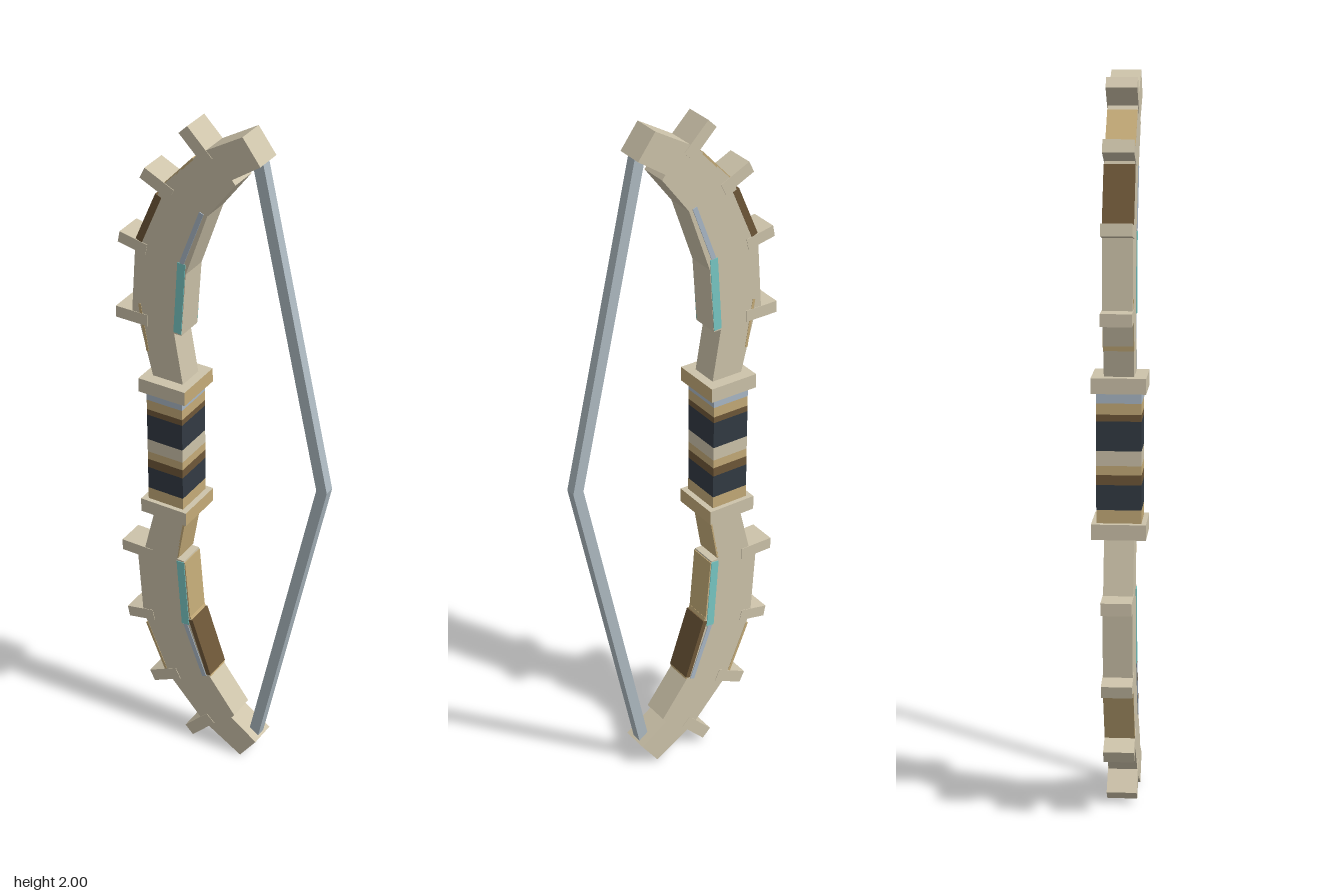
import * as THREE from 'three';

const mat = (name, color) => new THREE.MeshStandardMaterial({ name, color });

export function createModel() {
  const cream = mat('cream', 0xcdc3aa), tan = mat('tan', 0xc4ab78), brown = mat('brown', 0x6e5738),
    dark = mat('charcoal', 0x323a43), steel = mat('steel', 0xaebbc2),
    teal = mat('teal', 0x78c8c4), blue = mat('paleBlue', 0xaab8c6);
  const model = new THREE.Group();
  model.name = 'bow';

  const add = (parent, name, geometry, material) => {
    const m = new THREE.Mesh(geometry, material);
    m.name = name;
    parent.add(m);
    return m;
  };

  // outline extruded evenly to both sides of z = 0
  const slab = (parent, name, pts, depth, material) => {
    const shape = new THREE.Shape(pts.map(([x, y]) => new THREE.Vector2(x, y)));
    const g = new THREE.ExtrudeGeometry(shape, { depth, bevelEnabled: false });
    g.translate(0, 0, -depth / 2);
    return add(parent, name, g, material);
  };

  // box lying along the line from a to b
  const bar = (parent, name, a, b, width, depth, material) => {
    const dx = b[0] - a[0], dy = b[1] - a[1];
    const m = add(parent, name, new THREE.BoxGeometry(Math.hypot(dx, dy), width, depth), material);
    m.position.set((a[0] + b[0]) / 2, (a[1] + b[1]) / 2, 0);
    m.rotation.z = Math.atan2(dy, dx);
    return m;
  };

  // limb corners: outer edge going up, then inner edge coming down
  const outer = [[-0.2, 1.19], [-0.245, 1.37], [-0.27, 1.385], [-0.255, 1.6], [-0.17, 1.8], [-0.055, 1.925], [0.07, 2]];
  const inner = [[0.122, 1.93], [0.04, 1.873], [0.05, 1.86], [-0.033, 1.75], [-0.1, 1.56], [-0.115, 1.37], [-0.138, 1.37], [-0.108, 1.19]];
  const spikes = [
    [[-0.32, 1.385], [-0.22, 1.385], 0.034],
    [[-0.305, 1.617], [-0.22, 1.6], 0.033],
    [[-0.228, 1.824], [-0.14, 1.782], 0.036],
    [[-0.103, 1.978], [-0.03, 1.905], 0.036],
  ];

  for (const side of [1, -1]) {
    const limb = new THREE.Group();
    limb.name = side > 0 ? 'upperLimb' : 'lowerLimb';
    const flip = ([x, y]) => [x, 1 + side * (y - 1)];
    const strip = (name, a, b, w, d, m) => bar(limb, name, flip(a), flip(b), w, d, m);

    slab(limb, 'limbBody', [...outer, ...inner].map(flip), 0.08, cream);
    spikes.forEach(([a, b, w]) => strip('spike', a, b, w, 0.083, cream));

    // inlays showing on both faces
    strip('tealInlay', [-0.127, 1.375], [-0.112, 1.59], 0.024, 0.084, teal);
    strip('blueInlay', [-0.112, 1.59], [-0.05, 1.755], 0.014, 0.084, blue);

    // coloured edge faces
    if (side > 0) {
      strip('outerEdgeBrown', [-0.243, 1.622], [-0.18, 1.77], 0.02, 0.082, brown);
      strip('outerEdgeTan', [-0.16, 1.81], [-0.075, 1.903], 0.006, 0.08, tan);
      strip('outerPatch', [-0.245, 1.43], [-0.222, 1.29], 0.008, 0.082, tan);
    } else {
      strip('innerEdgeBrown', [-0.095, 1.57], [-0.036, 1.745], 0.014, 0.082, brown);
      strip('innerEdgeFace', [-0.099, 1.56], [-0.032, 1.75], 0.006, 0.078, tan);
      strip('innerEdgeTan', [-0.115, 1.375], [-0.1, 1.56], 0.006, 0.08, tan);
      strip('innerEdgeLower', [-0.137, 1.365], [-0.11, 1.215], 0.006, 0.08, tan);
      strip('outerPatch', [-0.243, 1.635], [-0.18, 1.785], 0.008, 0.082, tan);
    }
    model.add(limb);

    // collar between limb and grip, with a tan edge towards the string
    const collar = add(model, 'gripCollar', new THREE.BoxGeometry(0.146, 0.042, 0.146),
      [tan, cream, cream, cream, cream, cream]);
    collar.position.set(-0.16, 1 + side * 0.197, 0);
  }

  // wrapped grip: stacked bands from top to bottom
  const bands = [
    [1.18, 1.148, blue], [1.148, 1.118, tan], [1.118, 1.1, brown], [1.1, 1.02, dark],
    [1.02, 0.98, cream], [0.98, 0.955, tan], [0.955, 0.928, brown], [0.928, 0.86, dark], [0.86, 0.82, tan],
  ];
  for (const [top, bottom, material] of bands) {
    const band = add(model, 'gripBand', new THREE.BoxGeometry(0.112, top - bottom, 0.12), material);
    band.position.set(-0.16, (top + bottom) / 2, 0);
  }

  // drawn string
  slab(model, 'bowString', [[0.115, 0.07], [0.32, 1], [0.115, 1.93], [0.084, 1.925], [0.288, 1], [0.084, 0.075]], 0.03, steel);

  return model;
}
